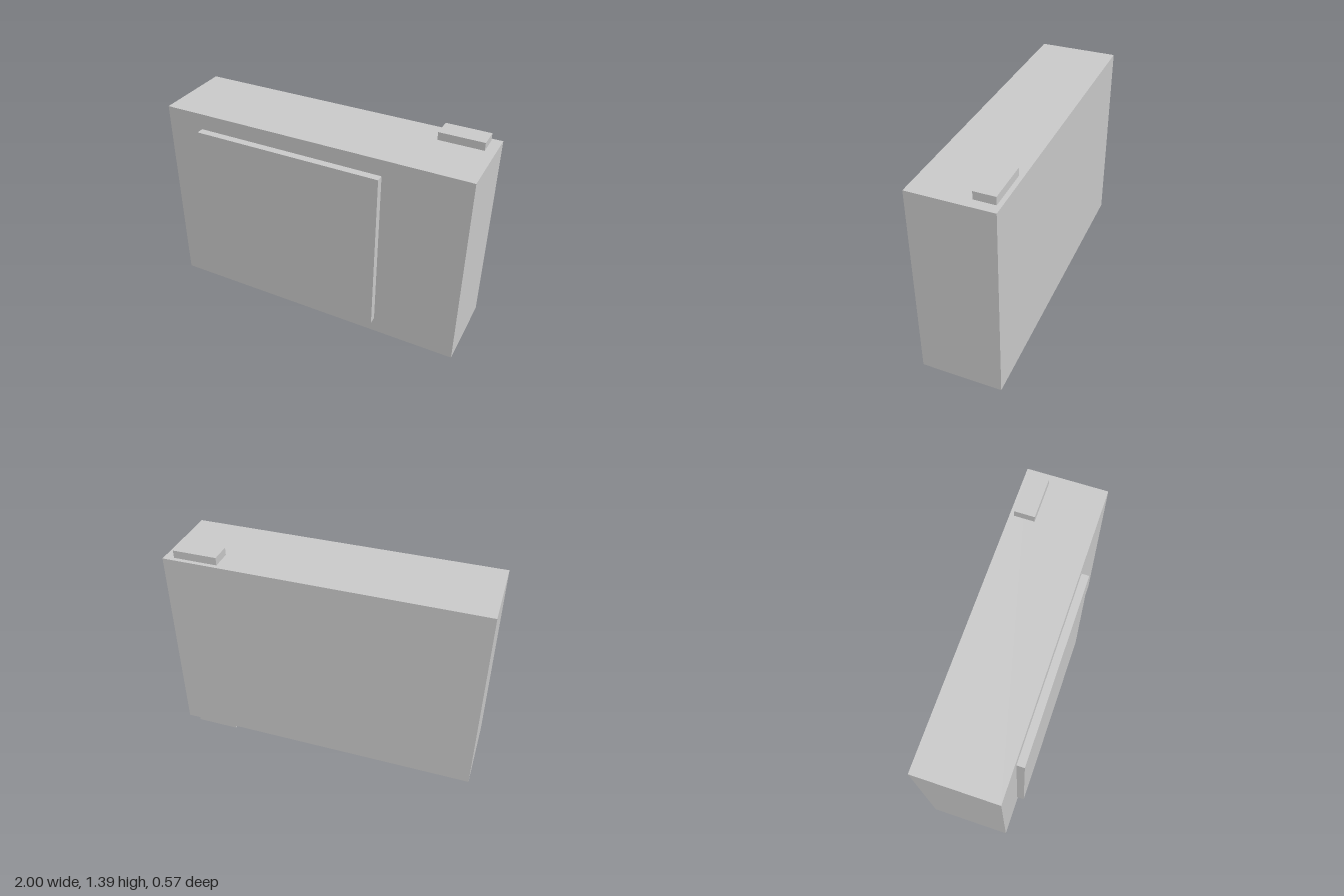
import * as THREE from 'three';

export function createModel() {
  const model = new THREE.Group();
  const material = new THREE.MeshStandardMaterial({ color: 0xcccccc, flatShading: true });

  // Adds a named box spanning two opposite corners
  function addBox(name, min, max) {
    const size = max.map((v, i) => v - min[i]);
    const mesh = new THREE.Mesh(new THREE.BoxGeometry(...size), material);
    mesh.position.set(...max.map((v, i) => (v + min[i]) / 2));
    mesh.name = name;
    model.add(mesh);
  }

  const bottom = 0.05, top = 1.34, height = 1.39;

  // Main slab and the raised panel on its front
  addBox('body', [-1, bottom, -0.283], [1, top, 0.235]);
  addBox('frontPanel', [-0.755, 0.157, 0.235], [0.467, 1.236, 0.283]);

  // Matching hinge tabs above and below, near the back left edge
  for (const [name, y0, y1] of [['lowerHingeTab', 0, bottom], ['upperHingeTab', top, height]]) {
    addBox(name, [0.656, y0, -0.255], [0.937, y1, -0.125]);
  }

  return model;
}
